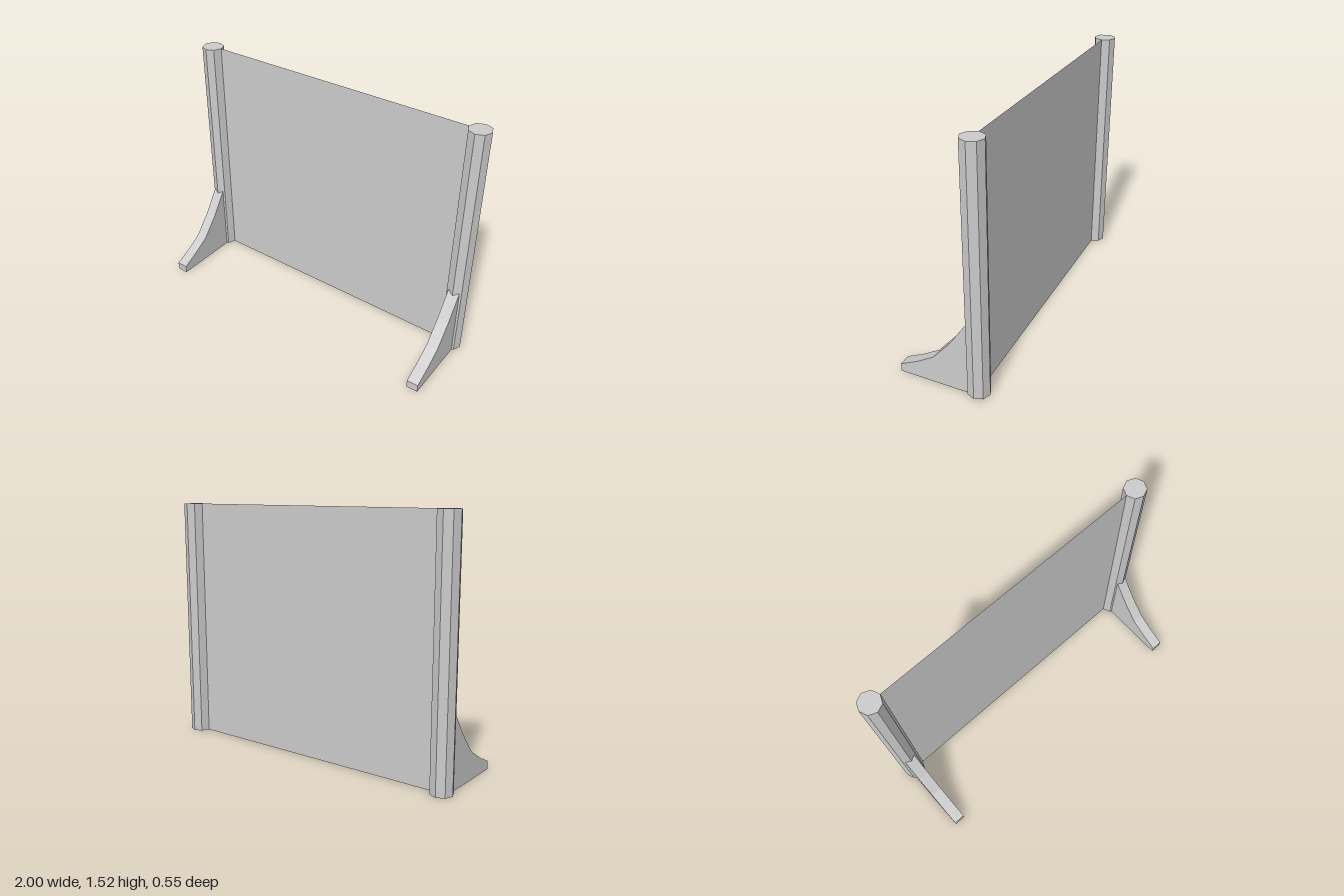
import * as THREE from 'three';

const HEIGHT = 1.52, POST_X = 0.932, POST_Z = -0.207, POST_R = 0.068, FOOT_W = 0.072;

export function createModel() {
  const group = new THREE.Group();
  const material = new THREE.MeshStandardMaterial({ color: 0xcccccc, flatShading: true });
  const sheet = new THREE.MeshStandardMaterial({ color: 0xcccccc, side: THREE.DoubleSide });

  const add = (name, geometry, mat, x, y, z) => {
    const mesh = new THREE.Mesh(geometry, mat);
    mesh.name = name;
    mesh.position.set(x, y, z);
    group.add(mesh);
  };

  // Thin screen stretched between the posts
  add('panel', new THREE.PlaneGeometry(2 * POST_X, HEIGHT), sheet, 0, HEIGHT / 2, POST_Z);

  // Octagonal post, one corner facing forward
  const post = new THREE.CylinderGeometry(POST_R, POST_R, HEIGHT, 8);

  // Curved brace foot, drawn as (z, y) and running slightly into the post
  const profile = [
    [-0.165, 0], [0.275, 0], [0.275, 0.05], [0.165, 0.105],
    [0.06, 0.17], [-0.05, 0.3], [-0.15, 0.45], [-0.165, 0.473],
  ].map(([z, y]) => new THREE.Vector2(z, y));
  const foot = new THREE.ExtrudeGeometry(new THREE.Shape(profile), { depth: FOOT_W, bevelEnabled: false });
  foot.translate(0, 0, -FOOT_W / 2);
  foot.rotateY(-Math.PI / 2);

  for (const [side, s] of [['left', 1], ['right', -1]]) {
    add(side + 'Post', post, material, s * POST_X, HEIGHT / 2, POST_Z);
    add(side + 'Foot', foot, material, s * POST_X, 0, 0);
  }
  return group;
}
